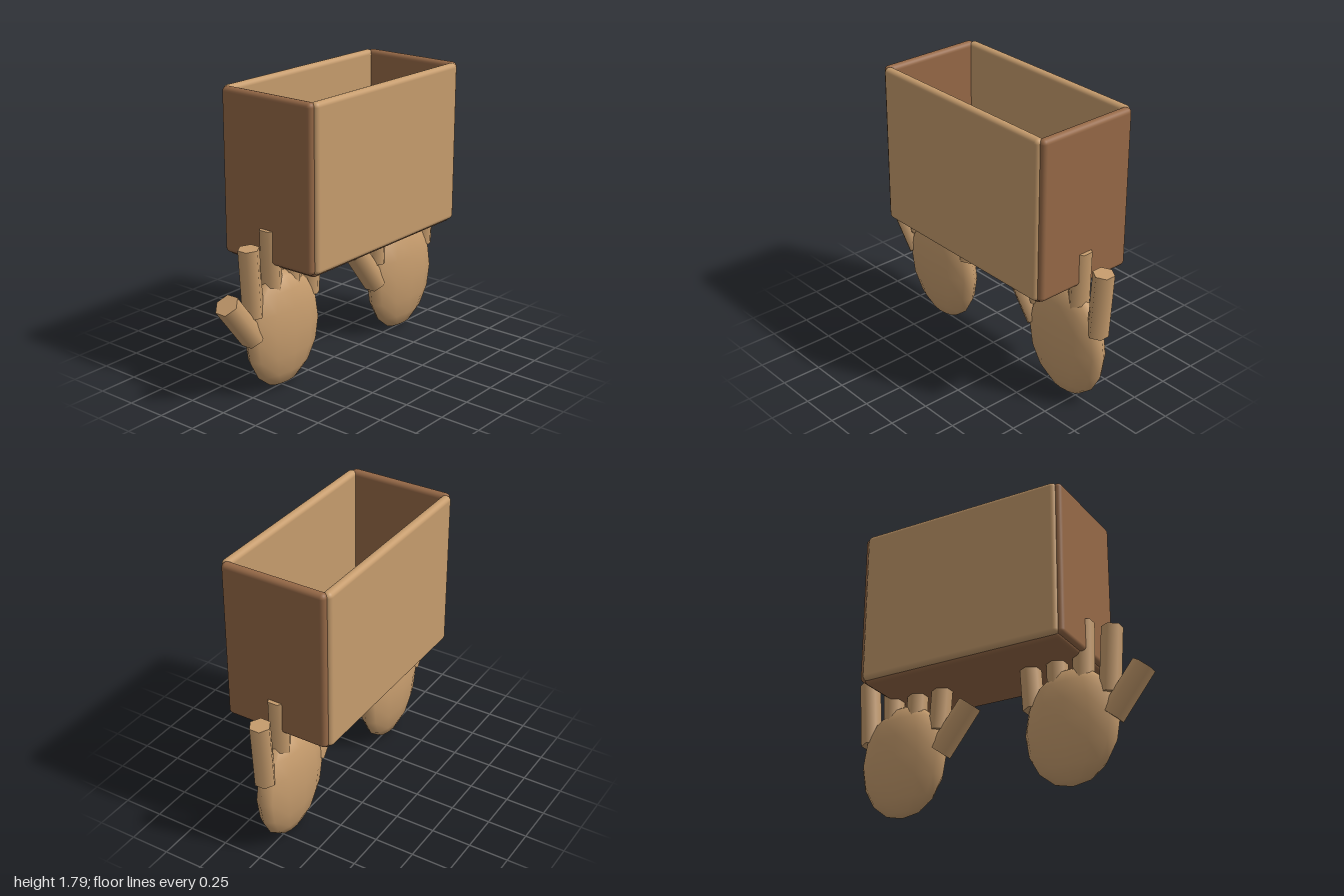
import * as THREE from 'three';
import { RoundedBoxGeometry } from 'three/addons/geometries/RoundedBoxGeometry.js';

const tan = new THREE.MeshStandardMaterial({ color: 0xc69c6d });
tan.name = 'tan';
const brown = new THREE.MeshStandardMaterial({ color: 0x966947 });
brown.name = 'brown';

function panel(name, size, position, material) {
  const mesh = new THREE.Mesh(new RoundedBoxGeometry(...size, 3, 0.029), material);
  mesh.name = name;
  mesh.position.set(...position);
  return mesh;
}

// Six-sided finger running between two points in the hand's plane
function finger(name, from, to, radius) {
  const a = new THREE.Vector3(...from, 0);
  const b = new THREE.Vector3(...to, 0);
  const dir = b.clone().sub(a);
  const mesh = new THREE.Mesh(new THREE.CylinderGeometry(radius, radius, dir.length(), 6), tan);
  mesh.name = name;
  mesh.position.copy(a).add(b).multiplyScalar(0.5);
  mesh.rotation.z = Math.atan2(-dir.x, dir.y);
  return mesh;
}

function makeHand(name, x) {
  const hand = new THREE.Group();
  hand.name = name;
  hand.position.x = x;

  const palm = new THREE.Mesh(new THREE.SphereGeometry(1, 12, 8), tan);
  palm.name = 'palm';
  palm.scale.set(0.305, 0.365, 0.112);
  palm.position.y = 0.37;
  hand.add(palm);

  // Outer fingers lean out more and sit lower than the middle pair
  for (const s of [-1, 1]) {
    hand.add(finger('outerFinger', [s * 0.248, 0.52], [s * 0.276, 0.938], 0.065));
    hand.add(finger('middleFinger', [s * 0.083, 0.59], [s * 0.093, 1.01], 0.065));
  }
  hand.add(finger('thumb', [-0.255, 0.383], [-0.465, 0.653], 0.075));
  return hand;
}

export function createModel() {
  const model = new THREE.Group();
  model.name = 'boxOnHands';

  // Open box built from five rounded panels
  const box = new THREE.Group();
  box.name = 'openBox';
  box.position.x = 0.09;
  box.add(panel('frontPanel', [1.34, 1, 0.06], [0, 1.3, 0.325], tan));
  box.add(panel('backPanel', [1.34, 1, 0.06], [0, 1.3, -0.325], tan));
  box.add(panel('leftPanel', [0.06, 1, 0.67], [0.67, 1.3, 0], brown));
  box.add(panel('rightPanel', [0.06, 1, 0.67], [-0.67, 1.3, 0], brown));
  box.add(panel('floor', [1.34, 0.06, 0.66], [0, 0.81, 0], brown));
  model.add(box);

  // Both hands share the same shape, not mirrored
  model.add(makeHand('rightHand', -0.485));
  model.add(makeHand('leftHand', 0.665));
  return model;
}
